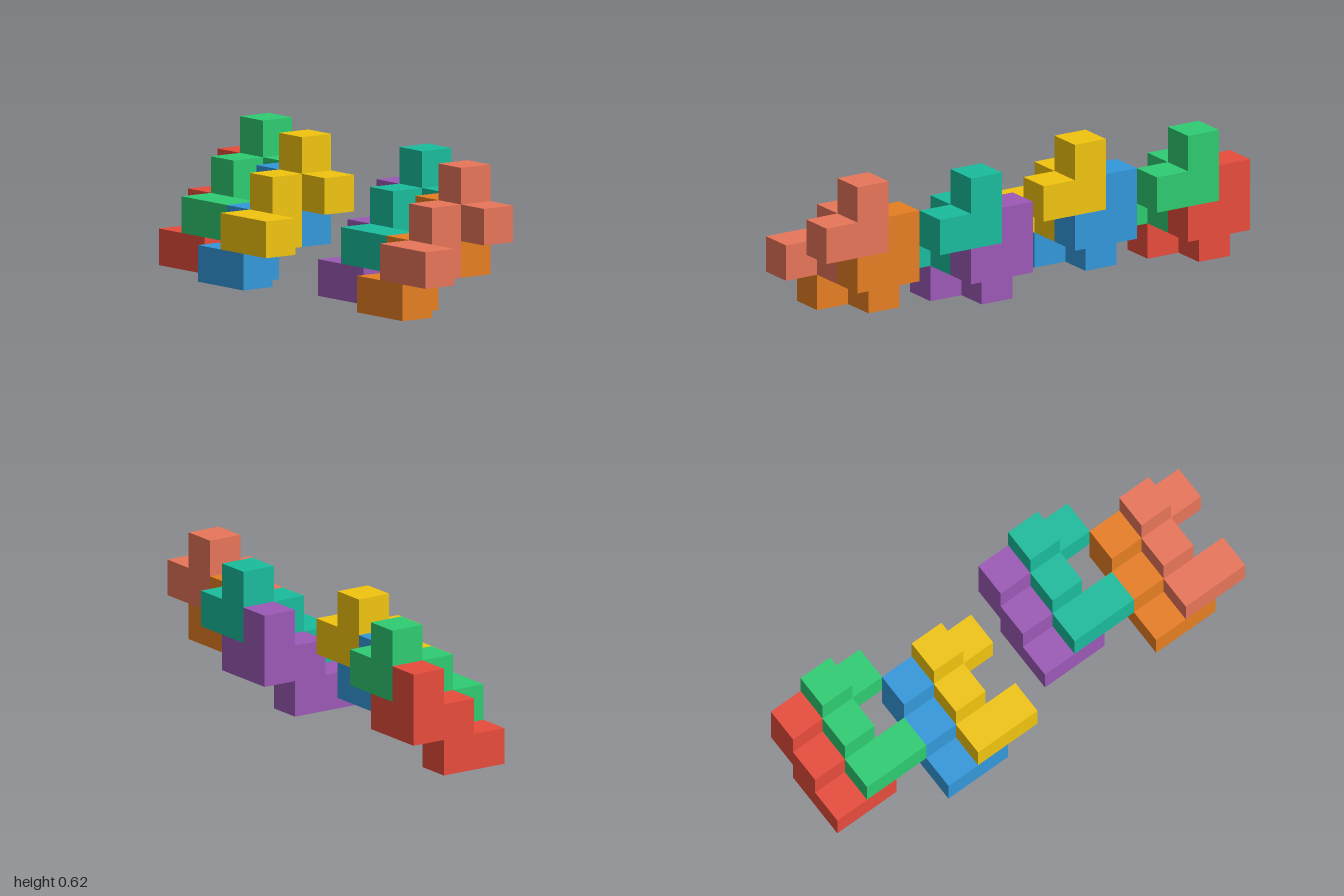
import * as THREE from 'three';
import { mergeGeometries } from 'three/addons/utils/BufferGeometryUtils.js';

const U = 2 / 13; // cube edge: the whole row is 13 cubes long

// Cells of one seven-cube puzzle piece: [x, y, z], z counted from the back
const CELLS = [
  [0, 0, 1], [0, 0, 2], [1, 0, 2],
  [0, 1, 0], [1, 1, 0], [0, 1, 1],
  [0, 2, 0],
];

// Outward directions with the rotation that turns a +z plane to face them
const SIDES = [
  [[1, 0, 0], [0, Math.PI / 2]], [[-1, 0, 0], [0, -Math.PI / 2]],
  [[0, 1, 0], [-Math.PI / 2, 0]], [[0, -1, 0], [Math.PI / 2, 0]],
  [[0, 0, 1], [0, 0]], [[0, 0, -1], [0, Math.PI]],
];

// Skin of the piece: only cube faces without a neighbour
function pieceGeometry() {
  const filled = new Set(CELLS.map(String));
  const faces = [];
  for (const cell of CELLS) {
    for (const [dir, [rx, ry]] of SIDES) {
      if (filled.has(String(cell.map((c, i) => c + dir[i])))) continue;
      const centre = cell.map((c, i) => (c + 0.5 + dir[i] / 2) * U);
      faces.push(new THREE.PlaneGeometry(U, U).rotateX(rx).rotateY(ry).translate(...centre));
    }
  }
  return mergeGeometries(faces);
}

// Name, colour and grid offset of each copy; pairs interlock one step up and across
const PIECES = [
  ['redPiece', 0xe74c3c, [0, 0, 0]],
  ['greenPiece', 0x2ecc71, [1, 1, 0]],
  ['bluePiece', 0x3498db, [3, 0, 1]],
  ['yellowPiece', 0xf1c40f, [4, 1, 1]],
  ['purplePiece', 0x9b59b6, [7, 0, 0]],
  ['tealPiece', 0x1abc9c, [8, 1, 0]],
  ['orangePiece', 0xe67e22, [10, 0, 1]],
  ['salmonPiece', 0xe87559, [11, 1, 1]],
];

export function createModel() {
  const model = new THREE.Group();
  model.name = 'interlockingCubePieces';
  const geometry = pieceGeometry();
  for (const [name, color, [x, y, z]] of PIECES) {
    const piece = new THREE.Mesh(geometry, new THREE.MeshStandardMaterial({ color }));
    piece.name = name;
    piece.position.set((x - 6.5) * U, y * U, (z - 2) * U);
    model.add(piece);
  }
  return model;
}
